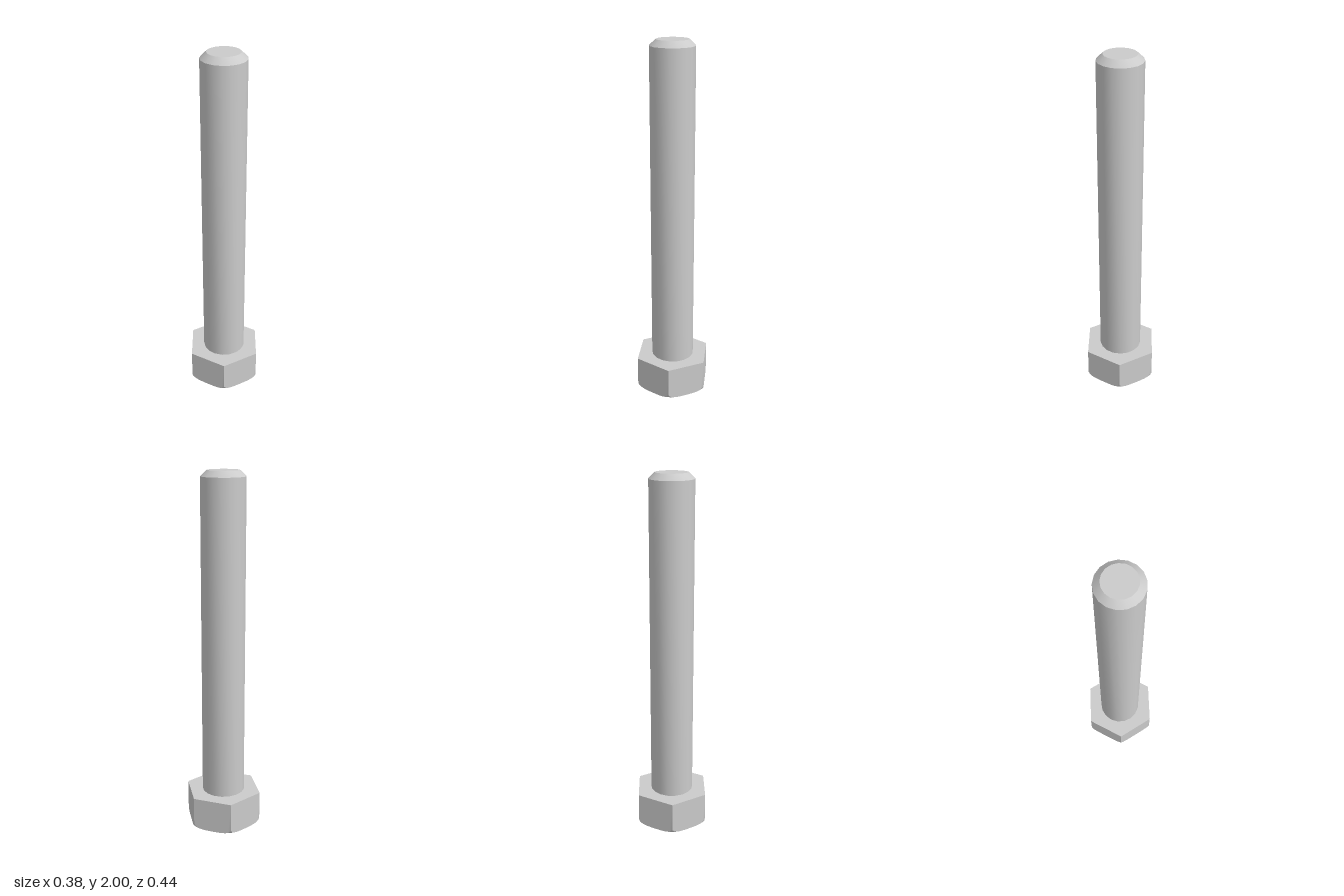
import * as THREE from 'three';
import { toCreasedNormals } from 'three/addons/utils/BufferGeometryUtils.js';

const HEAD_TOP = 0.19, APOTHEM = 0.192, CORNER = APOTHEM / Math.cos(Math.PI / 6);
const SHAFT_R = 0.121, SHAFT_SIDES = 17;

// Distance from the axis to the hexagon at angle a (flats on +-x, corners on +-z)
function hexRadius(a) {
  const step = Math.PI / 3;
  const local = ((a + step / 2) % step) - step / 2;
  return APOTHEM / Math.cos(local);
}

// Rounded chamfer of the head underside: height as a function of radius
const FLAT_R = 0.187, CHAMFER_H = 0.028;
function chamferY(r) {
  const t = Math.min(1, Math.max(0, (r - FLAT_R) / (CORNER - FLAT_R)));
  return CHAMFER_H * (1 - Math.sqrt(1 - t * t));
}

// Rings of the head, from the underside centre round to the shaft
function headGeometry() {
  const n = 96, steps = 6;
  const rings = [() => [0, 0]];
  for (let k = 0; k <= steps; k++) {
    rings.push((a) => {
      const r = THREE.MathUtils.lerp(FLAT_R, hexRadius(a), k / steps);
      return [r, chamferY(r)];
    });
  }
  rings.push((a) => [hexRadius(a), HEAD_TOP]);
  rings.push(() => [SHAFT_R * 0.97, HEAD_TOP]);

  const positions = [], index = [];
  for (const ring of rings) {
    for (let i = 0; i < n; i++) {
      const a = (i / n) * Math.PI * 2;
      const [r, y] = ring(a);
      positions.push(r * Math.cos(a), y, r * Math.sin(a));
    }
  }
  for (let j = 0; j < rings.length - 1; j++) {
    for (let i = 0; i < n; i++) {
      const a = j * n + i, b = j * n + ((i + 1) % n), c = a + n, d = b + n;
      if (j > 0) index.push(a, c, b);
      index.push(b, c, d);
    }
  }
  const g = new THREE.BufferGeometry();
  g.setAttribute('position', new THREE.Float32BufferAttribute(positions, 3));
  g.setIndex(index);
  return toCreasedNormals(g, 0.5);
}

// Long shank with a chamfered tip
function shaftGeometry() {
  const profile = [[SHAFT_R, HEAD_TOP], [SHAFT_R, 1.968], [0.087, 2], [0, 2]]
    .map(([x, y]) => new THREE.Vector2(x, y));
  const g = new THREE.LatheGeometry(profile, SHAFT_SIDES, -Math.PI / 2);
  return toCreasedNormals(g, 0.5);
}

export function createModel() {
  const material = new THREE.MeshStandardMaterial({ color: 0xcccccc });
  const group = new THREE.Group();
  group.name = 'hexBolt';
  const parts = { hexHead: headGeometry(), shaft: shaftGeometry() };
  for (const [name, geometry] of Object.entries(parts)) {
    const mesh = new THREE.Mesh(geometry, material);
    mesh.name = name;
    group.add(mesh);
  }
  return group;
}
